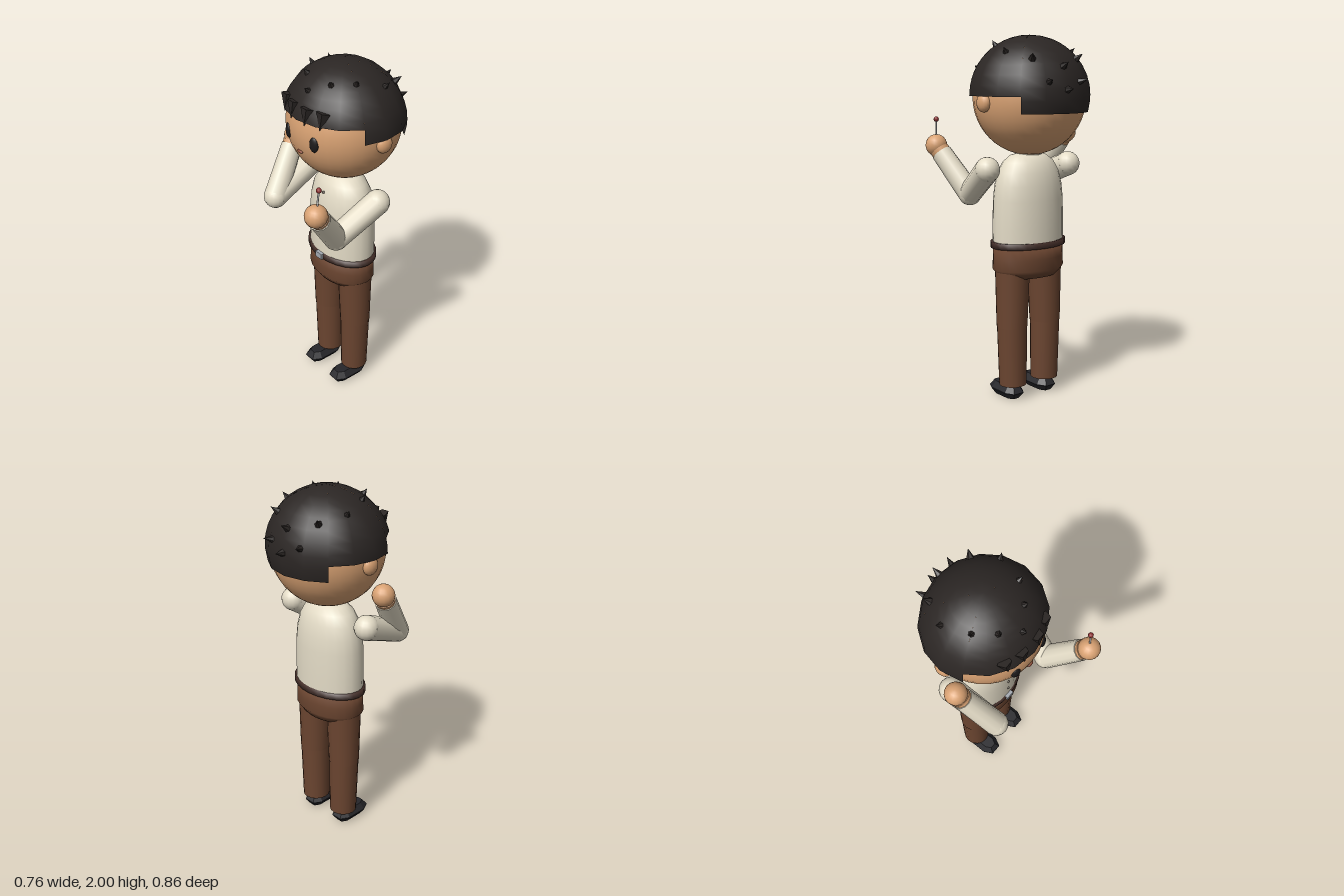
import * as THREE from 'three';

const mat = (color, extra = {}) => new THREE.MeshStandardMaterial({ color, ...extra });
const V = (x, y, z) => new THREE.Vector3(x, y, z);
const UP = V(0, 1, 0);
const DEG = Math.PI / 180;
const CZ = -0.06; // depth of the body axis

const skin = mat(0xd9a273), cream = mat(0xe3dbc6), brown = mat(0x6b4530);
const cloth = mat(0xe3dbc6, { side: THREE.DoubleSide });
const hairMat = mat(0x2b2624, { side: THREE.DoubleSide });
const spikeMat = mat(0x2b2624, { flatShading: true });
const black = mat(0x1c1a1b), shoeMat = mat(0x26262a, { flatShading: true });
const beltMat = mat(0x46302a), metal = mat(0xa4aab2), buttonMat = mat(0x6f675c), red = mat(0x8c3030);

export function createModel() {
  const root = new THREE.Group();

  const add = (name, geo, material, p, scale) => {
    const m = new THREE.Mesh(geo, material);
    m.name = name;
    if (p) m.position.copy(p);
    if (scale) m.scale.set(...scale);
    root.add(m);
    return m;
  };
  const ball = (name, material, p, r, scale, seg = 16) =>
    add(name, new THREE.SphereGeometry(r, seg, Math.max(6, seg * 0.75)), material, p, scale);
  // tapered rod from a to b
  const rod = (name, material, a, b, ra, rb, seg = 12) => {
    const d = b.clone().sub(a);
    const m = add(name, new THREE.CylinderGeometry(rb, ra, d.length(), seg), material, a.clone().lerp(b, 0.5));
    m.quaternion.setFromUnitVectors(UP, d.normalize());
    return m;
  };
  // turned shape flattened front to back
  const turned = (name, material, pts, depth) =>
    add(name, new THREE.LatheGeometry(pts.map(p => new THREE.Vector2(...p)), 24), material, V(0, 0, CZ), [1, 1, depth]);

  // head and face
  const headC = V(0, 1.672, -0.07);
  ball('head', skin, headC, 1, [0.308, 0.312, 0.304], 32);
  for (const s of [-1, 1]) {
    ball('ear', skin, V(s * 0.308, 1.647, -0.075), 1, [0.033, 0.05, 0.047]);
    const eye = ball('eye', black, V(s * 0.105, 1.652, 0.212), 1, [0.026, 0.042, 0.014]);
    eye.rotation.y = s * 0.35;
  }
  ball('mouth', mat(0x8a4a35), V(0, 1.575, 0.22), 1, [0.022, 0.009, 0.01], 12);

  // stepped hair cap: short over the face, longer at the sides, longest at the back
  const hairC = V(0, 1.68, -0.07), hairR = V(0.335, 0.32, 0.32);
  const patches = [['hairFront', 22.5, 135, 75.5], ['hairSide', 157.5, 67.5, 90],
    ['hairBack', 225, 90, 106], ['hairSide', 315, 67.5, 90]];
  for (const [name, start, len, end] of patches)
    add(name, new THREE.SphereGeometry(1, len / 22.5, 9, start * DEG, len * DEG, 0, end * DEG),
      hairMat, hairC, hairR.toArray());

  // spikes standing out of the hair
  const spike = (x, z, r, h, side = 1) => {
    const dx = x / hairR.x, dz = (z - hairC.z) / hairR.z;
    const dir = V(dx, Math.sqrt(Math.max(0.01, 1 - dx * dx - dz * dz)) * side, dz).normalize();
    const m = add('hairSpike', new THREE.ConeGeometry(r, h, 6), spikeMat, dir.clone().multiply(hairR).add(hairC));
    m.position.addScaledVector(dir, h * 0.25);
    m.quaternion.setFromUnitVectors(UP, dir);
  };
  spike(0, 0.165, 0.02, 0.04);
  spike(0, -0.35, 0.025, 0.06);
  spike(0, -0.388, 0.025, 0.06);
  for (const s of [-1, 1]) {
    spike(s * 0.095, 0.095, 0.02, 0.04);
    spike(s * 0.175, 0, 0.02, 0.04);
    spike(s * 0.22, -0.15, 0.02, 0.045);
    spike(s * 0.15, -0.28, 0.024, 0.055);
    spike(s * 0.105, -0.364, 0.022, 0.06);
  }
  // fringe of downward points
  for (const [x, z] of [[-0.15, 0.187], [-0.06, 0.215], [0.05, 0.217], [0.14, 0.19]]) {
    const m = add('fringe', new THREE.ConeGeometry(0.038, 0.095, 5), spikeMat, V(x, 1.785, z));
    m.rotation.set(Math.PI - 0.3, 0, 0);
  }

  // torso, hips and belt
  rod('neck', cream, V(0, 1.32, CZ), V(0, 1.385, CZ), 0.075, 0.07, 16);
  turned('shirt', cloth, [[0.216, 0.87], [0.217, 0.98], [0.214, 1.12], [0.205, 1.2], [0.187, 1.27],
    [0.155, 1.325], [0.11, 1.36], [0.05, 1.373], [0, 1.374]], 0.7);
  turned('hips', brown, [[0, 0.685], [0.1, 0.688], [0.175, 0.695], [0.2, 0.72], [0.219, 0.74],
    [0.217, 0.8], [0.214, 0.87], [0, 0.87]], 0.69);
  turned('belt', beltMat, [[0.2, 0.862], [0.231, 0.862], [0.231, 0.895], [0.2, 0.895]], 0.69);
  add('buckle', new THREE.BoxGeometry(0.05, 0.034, 0.02), metal, V(0, 0.879, 0.1));
  for (const [y, z] of [[0.99, 0.092], [1.09, 0.091], [1.18, 0.086], [1.275, 0.071]])
    ball('button', buttonMat, V(0, y, z), 0.008, undefined, 8);

  // legs and shoes
  const sole = new THREE.Shape([[0.018, 0.083], [0.035, 0.05], [0.035, -0.06], [0.018, -0.09],
    [-0.018, -0.09], [-0.035, -0.06], [-0.035, 0.05], [-0.018, 0.083]].map(p => new THREE.Vector2(...p)));
  const shoeGeo = new THREE.ExtrudeGeometry(sole, { depth: 0.004, bevelEnabled: true,
    bevelSize: 0.025, bevelThickness: 0.035, bevelSegments: 1 });
  shoeGeo.rotateX(Math.PI / 2);
  for (const s of [-1, 1]) {
    rod('upperLeg', brown, V(s * 0.117, 0.42, -0.064), V(s * 0.112, 0.73, -0.062), 0.086, 0.096, 16);
    ball('knee', brown, V(s * 0.117, 0.42, -0.064), 0.084);
    rod('lowerLeg', brown, V(s * 0.112, 0.085, -0.065), V(s * 0.117, 0.43, -0.064), 0.077, 0.084, 16);
    const shoe = add('shoe', shoeGeo, shoeMat, V(s * 0.115, 0.044, -0.008));
    shoe.scale.z = -1;
    shoe.rotation.y = 0;
    shoe.scale.z = 1;
  }

  // arms: sleeve in two rods with round joints, wrist band and fist
  const arm = (shoulder, elbow, hand) => {
    const along = t => elbow.clone().lerp(hand, t);
    ball('shoulder', cream, shoulder, 0.068);
    rod('upperSleeve', cream, shoulder, elbow, 0.068, 0.064);
    ball('elbow', cream, elbow, 0.065);
    rod('lowerSleeve', cream, elbow, along(0.84), 0.065, 0.058);
    rod('wrist', skin, along(0.82), along(0.9), 0.052, 0.056);
    ball('hand', skin, hand, 0.061);
  };
  arm(V(0.28, 1.295, -0.065), V(0.228, 1.14, 0.17), V(0.316, 1.4, 0.367));
  arm(V(-0.28, 1.295, -0.065), V(-0.25, 1.185, 0.21), V(-0.325, 1.468, 0.01));

  // sweet on a stick held in the left hand
  rod('stick', mat(0xd8d8d8), V(0.318, 1.42, 0.365), V(0.323, 1.54, 0.355), 0.005, 0.005, 8);
  ball('sweet', red, V(0.323, 1.545, 0.354), 0.015, undefined, 8);

  return root;
}
